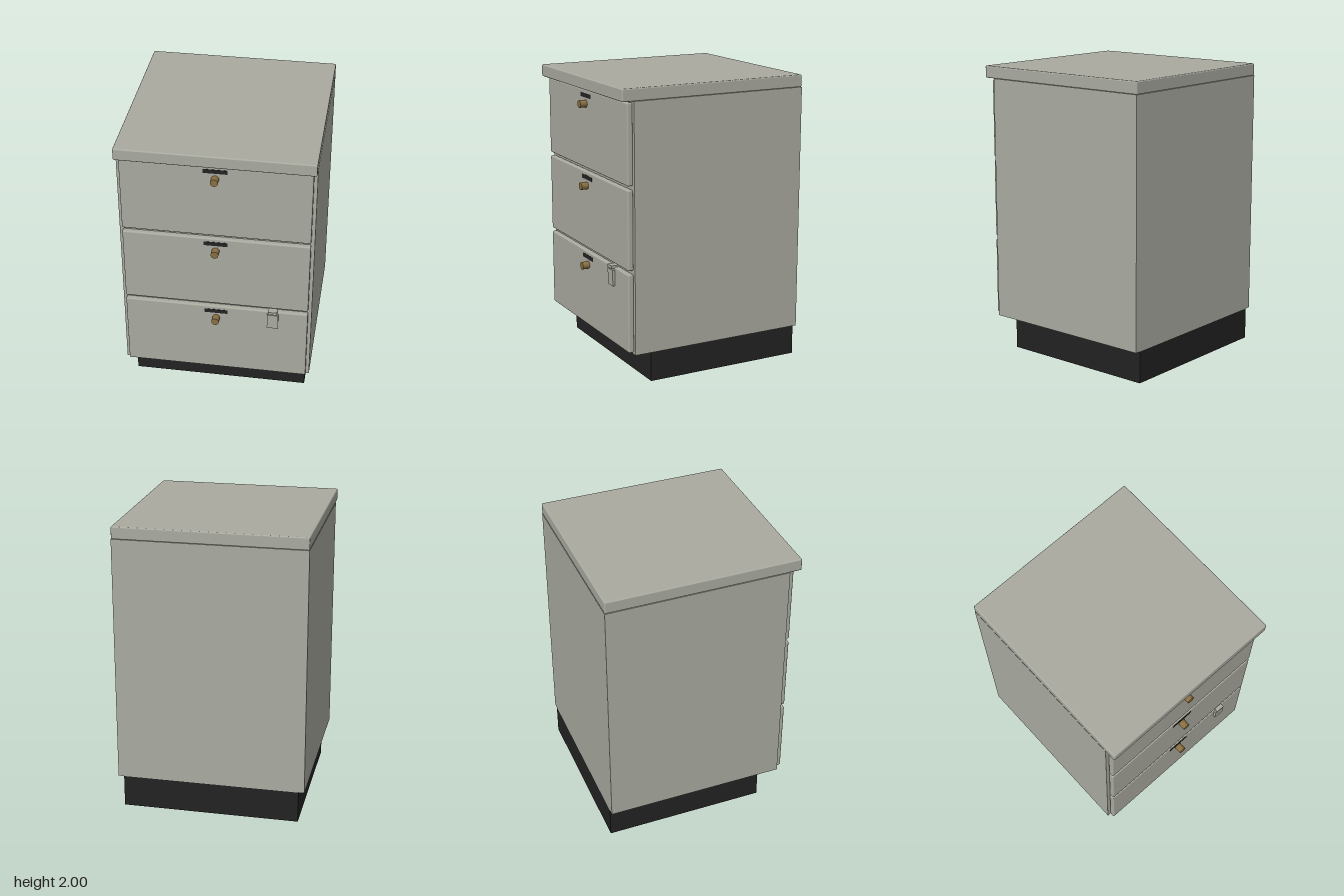
import * as THREE from 'three';
import { RoundedBoxGeometry } from 'three/addons/geometries/RoundedBoxGeometry.js';

const material = (name, color) => {
  const m = new THREE.MeshStandardMaterial({ color });
  m.name = name;
  return m;
};

export function createModel() {
  const grey = material('grey paint', 0xa9aaa0);
  const black = material('black', 0x222222);
  const brass = material('brass', 0x8a7042);
  const model = new THREE.Group();
  model.name = 'drawerCabinet';

  // Box between two corners, with optional rounded edges
  const box = (name, mat, [x0, y0, z0], [x1, y1, z1], radius = 0, parent = model) => {
    const size = [x1 - x0, y1 - y0, z1 - z0];
    const geometry = radius
      ? new RoundedBoxGeometry(...size, 2, radius)
      : new THREE.BoxGeometry(...size);
    const mesh = new THREE.Mesh(geometry, mat);
    mesh.name = name;
    mesh.position.set((x0 + x1) / 2, (y0 + y1) / 2, (z0 + z1) / 2);
    parent.add(mesh);
    return mesh;
  };

  // Carcass, recessed plinth and overhanging top
  box('plinth', black, [-0.61, 0, -0.675], [0.61, 0.22, 0.455]);
  box('body', grey, [-0.65, 0.22, -0.675], [0.65, 1.916, 0.59]);
  box('top', grey, [-0.65, 1.916, -0.675], [0.65, 2, 0.672], 0.009);

  // Three drawers, each with a label plate and a round knob
  for (let i = 0; i < 3; i++) {
    const y = 0.233 + i * 0.566;
    const drawer = new THREE.Group();
    drawer.name = 'drawer' + (i + 1);
    model.add(drawer);
    box('drawerFront', grey, [-0.627, y, 0.588], [0.627, y + 0.54, 0.628], 0.01, drawer);
    box('labelPlate', black, [-0.08, y + 0.486, 0.626], [0.08, y + 0.515, 0.63], 0, drawer);

    const knob = new THREE.Mesh(new THREE.CylinderGeometry(0.026, 0.026, 0.052, 16), brass);
    knob.name = 'knob';
    knob.rotation.x = Math.PI / 2;
    knob.position.set(0, y + 0.445, 0.652);
    drawer.add(knob);
  }

  // Latch on the bottom drawer: plate with a tab hooked over the edge
  box('latchPlate', grey, [0.352, 0.645, 0.626], [0.428, 0.756, 0.646]);
  box('latchTab', grey, [0.36, 0.765, 0.59], [0.42, 0.785, 0.652]);

  return model;
}
